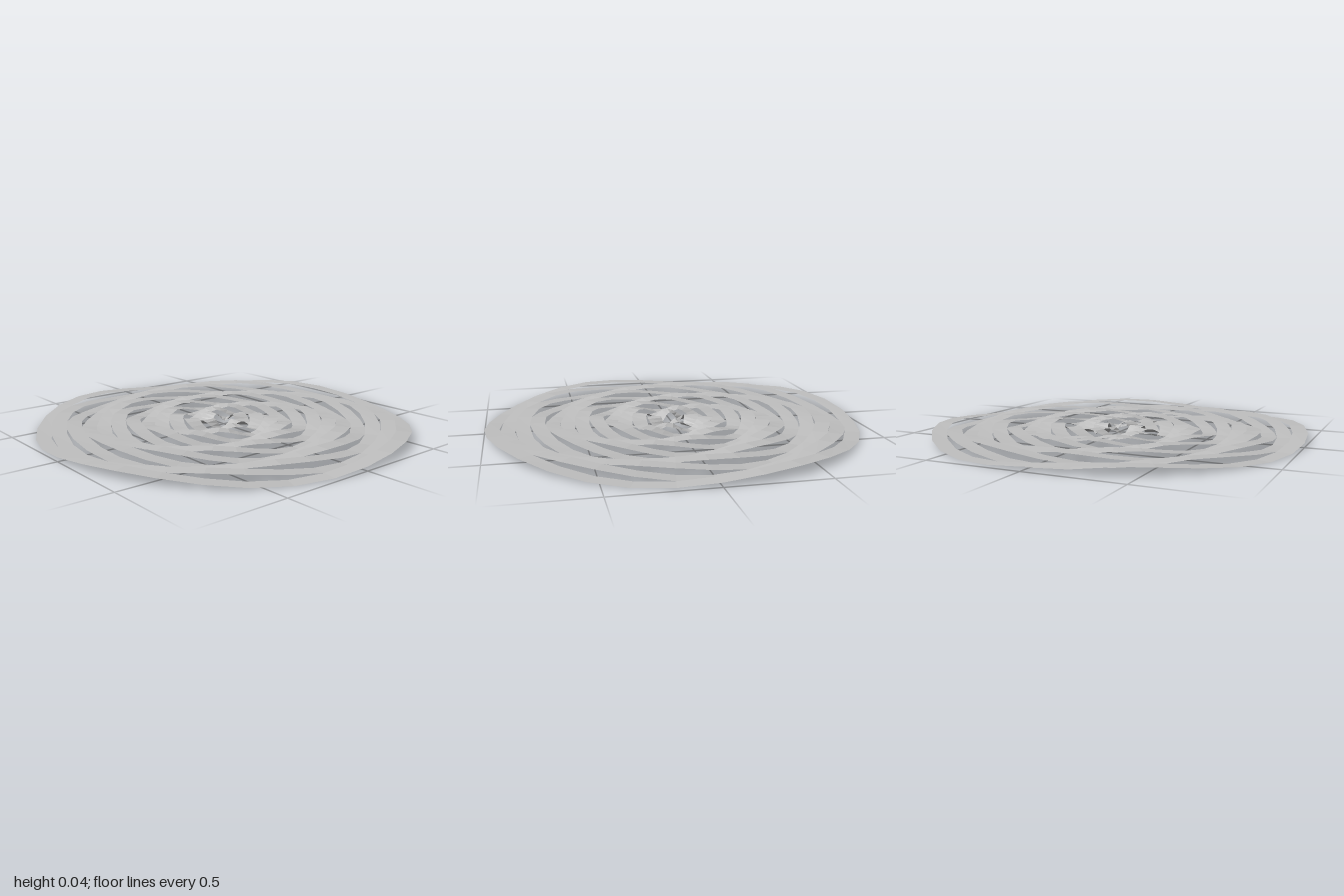
import * as THREE from 'three';

const RINGS = 12;       // concentric ribbons
const SEGMENTS = 32;
const HOLE = 0.064;     // radius of the central opening
const WAVE = 0.0215;    // half the height of the ripple
const LOBES = 4;        // crests per ribbon

// Flat ring lifted into a wave that runs around its circumference
function wavyRing(inner, outer, phase) {
  const geometry = new THREE.RingGeometry(inner, outer, SEGMENTS, 1);
  geometry.rotateX(-Math.PI / 2);
  const p = geometry.attributes.position;
  for (let i = 0; i < p.count; i++) {
    const angle = Math.atan2(p.getZ(i), p.getX(i));
    p.setY(i, WAVE + WAVE * Math.cos(LOBES * angle - phase));
  }
  geometry.computeVertexNormals();
  return geometry;
}

export function createModel() {
  const group = new THREE.Group();
  group.name = 'rippledRings';

  const grey = new THREE.MeshStandardMaterial({
    color: 0xc0c0c0, flatShading: true, side: THREE.DoubleSide,
  });
  grey.name = 'light grey';

  // Each ribbon is a quarter wave out of step with its neighbour
  const width = (1 - HOLE) / RINGS;
  for (let i = 0; i < RINGS; i++) {
    const inner = HOLE + i * width;
    const ring = new THREE.Mesh(wavyRing(inner, inner + width, i * Math.PI / 2), grey);
    ring.name = `wavyRing${i + 1}`;
    group.add(ring);
  }
  return group;
}
